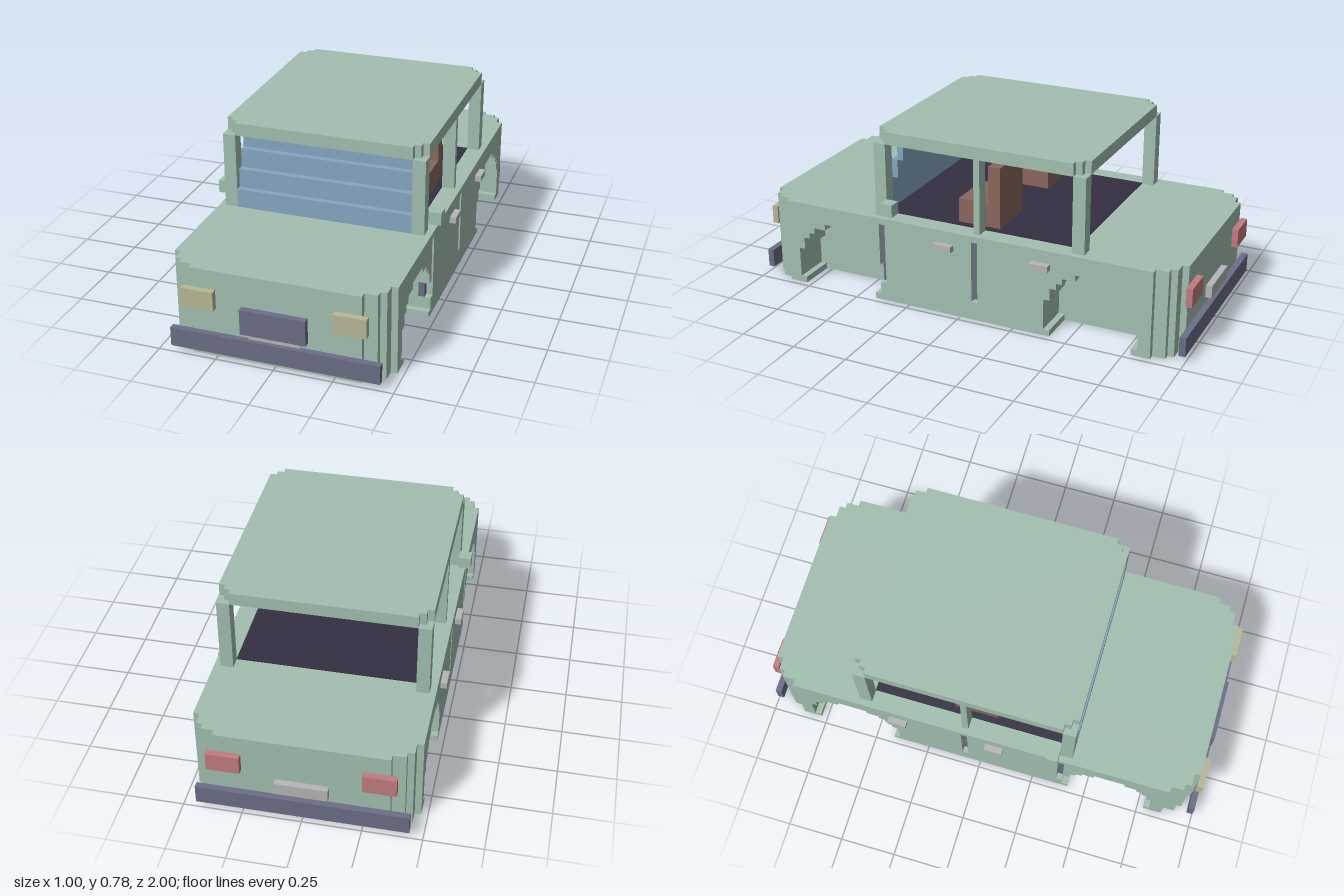
import * as THREE from 'three';

// All sizes are in blocks; 36 blocks make one unit.
const U = 1 / 36;

const paint = (name, color) => {
  const m = new THREE.MeshStandardMaterial({ color });
  m.name = name;
  return m;
};

export function createModel() {
  const green = paint('sage green', 0xa3bfb0);
  const blue = paint('glass blue', 0x86a6c2);
  const navy = paint('slate navy', 0x6b6e86);
  const dark = paint('dark floor', 0x343042);
  const tan = paint('lamp tan', 0xbab796);
  const red = paint('lamp red', 0xc27c80);
  const grey = paint('trim grey', 0xb7b6b6);
  const brown = paint('seat brown', 0x8a685e);

  const car = new THREE.Group();
  car.name = 'blockCar';

  const add = (name, geo, mat) => {
    const mesh = new THREE.Mesh(geo.scale(U, U, U), mat);
    mesh.name = name;
    car.add(mesh);
  };
  // Box given by its min and max corner on each axis
  const box = (name, mat, x0, x1, y0, y1, z0, z1) => {
    const g = new THREE.BoxGeometry(x1 - x0, y1 - y0, z1 - z0);
    add(name, g.translate((x0 + x1) / 2, (y0 + y1) / 2, (z0 + z1) / 2), mat);
  };
  // The same box on both sides
  const pair = (name, mat, x0, x1, ...rest) => {
    box(name + 'Left', mat, x0, x1, ...rest);
    box(name + 'Right', mat, -x1, -x0, ...rest);
  };

  // Stepped wheel arch, half profile as [half width, height]
  const arch = [[6.5, 0], [6.5, 1], [7.5, 1], [7.5, 6], [6.5, 6], [6.5, 8],
    [5.5, 8], [5.5, 9], [4.5, 9], [4.5, 10], [2.5, 10], [2.5, 11]];
  const slot = [[7.5, 3], [8.5, 3], [8.5, 13], [7.5, 13]];

  // Side slice of the body: arches cut out, optional door gaps (shape x is -z)
  const sideSlice = (halfLength, thickness, gaps) => {
    const pts = [[-halfLength, 0]];
    for (const c of [-21.5, 21.5]) {
      const far = gaps && c < 0 ? [...arch.slice(0, 3), ...slot, ...arch.slice(3)] : arch;
      arch.forEach(([w, y]) => pts.push([c - w, y]));
      [...far].reverse().forEach(([w, y]) => pts.push([c + w, y]));
    }
    pts.push([halfLength, 0], [halfLength, 14], [-halfLength, 14]);
    const shape = new THREE.Shape(pts.map(p => new THREE.Vector2(...p)));
    if (gaps) {
      shape.holes.push(new THREE.Path(
        [[2, 3], [2, 13], [3, 13], [3, 3]].map(p => new THREE.Vector2(...p))));
    }
    return new THREE.ExtrudeGeometry(shape, { depth: thickness, bevelEnabled: false })
      .rotateY(Math.PI / 2);
  };

  // Body: solid core, then slices that shorten towards the sides
  box('bodyCore', green, -11, 11, 0, 14, -35, 35);
  for (const [x0, x1, half, gaps] of [[11, 13, 35, false], [13, 15, 34, false],
    [15, 16, 33, true], [16, 17, 31, true]]) {
    add('bodySideLeft', sideSlice(half, x1 - x0, gaps).translate(x0, 0, 0), green);
    add('bodySideRight', sideSlice(half, x1 - x0, gaps).translate(-x1, 0, 0), green);
  }
  pair('frontDoorGap', navy, 15, 16, 3, 13, 13, 14);
  pair('rearDoorGap', navy, 15, 16, 3, 13, -3, -2);

  // Roof with stepped corners
  const corner = [[14, 17.5], [14, 16.5], [15, 16.5], [15, 15.5], [16, 15.5]];
  const back = [...corner].reverse();
  const plan = [
    ...back.map(([x, z]) => [x, z]),
    ...corner.map(([x, z]) => [-x, z]),
    ...back.map(([x, z]) => [-x, -z]),
    ...corner.map(([x, z]) => [x, -z]),
  ];
  const roofShape = new THREE.Shape(plan.map(p => new THREE.Vector2(...p)));
  add('roof', new THREE.ExtrudeGeometry(roofShape, { depth: 2, bevelEnabled: false })
    .rotateX(-Math.PI / 2).translate(0, 26, -2.5), green);

  // Pillars
  pair('frontPillar', green, 14, 16, 14, 26, 13, 15);
  pair('middlePillar', green, 14, 16, 14, 26, -3, -2);
  pair('rearPillar', green, 14, 16, 14, 26, -20, -18);

  // Windscreen in four steps leaning back
  for (let i = 0; i < 4; i++) {
    box('windscreenStep' + (i + 1), blue, -14, 14, 14 + 3 * i, 17 + 3 * i, 14 - i, 15 - i);
  }

  // Cabin
  box('cabinFloor', dark, -14, 14, 14, 14.15, -18, 14);
  pair('seatCushion', brown, 5, 13, 14, 18, -3, 2);
  pair('seatBack', brown, 5, 13, 14, 24, -5, -3);

  // Mirrors and door handles
  pair('mirror', green, 16, 18, 15, 17, 11, 13);
  pair('frontHandle', grey, 17, 18, 11, 12, 1, 4);
  pair('rearHandle', grey, 17, 18, 11, 12, -15, -12);

  // Front and rear fittings
  box('frontBumper', navy, -16, 16, 1, 4, 35, 36);
  box('rearBumper', navy, -16, 16, 1, 4, -36, -35);
  box('grille', navy, -5, 5, 5, 9, 35, 36);
  box('frontPlate', grey, -4, 4, 4, 5, 35, 35.3);
  box('rearPlate', grey, -4, 4, 5, 7, -36, -35);
  pair('headlight', tan, 9, 14, 8, 11, 35, 36);
  pair('tailLight', red, 9, 14, 8, 11, -36, -35);

  return car;
}
